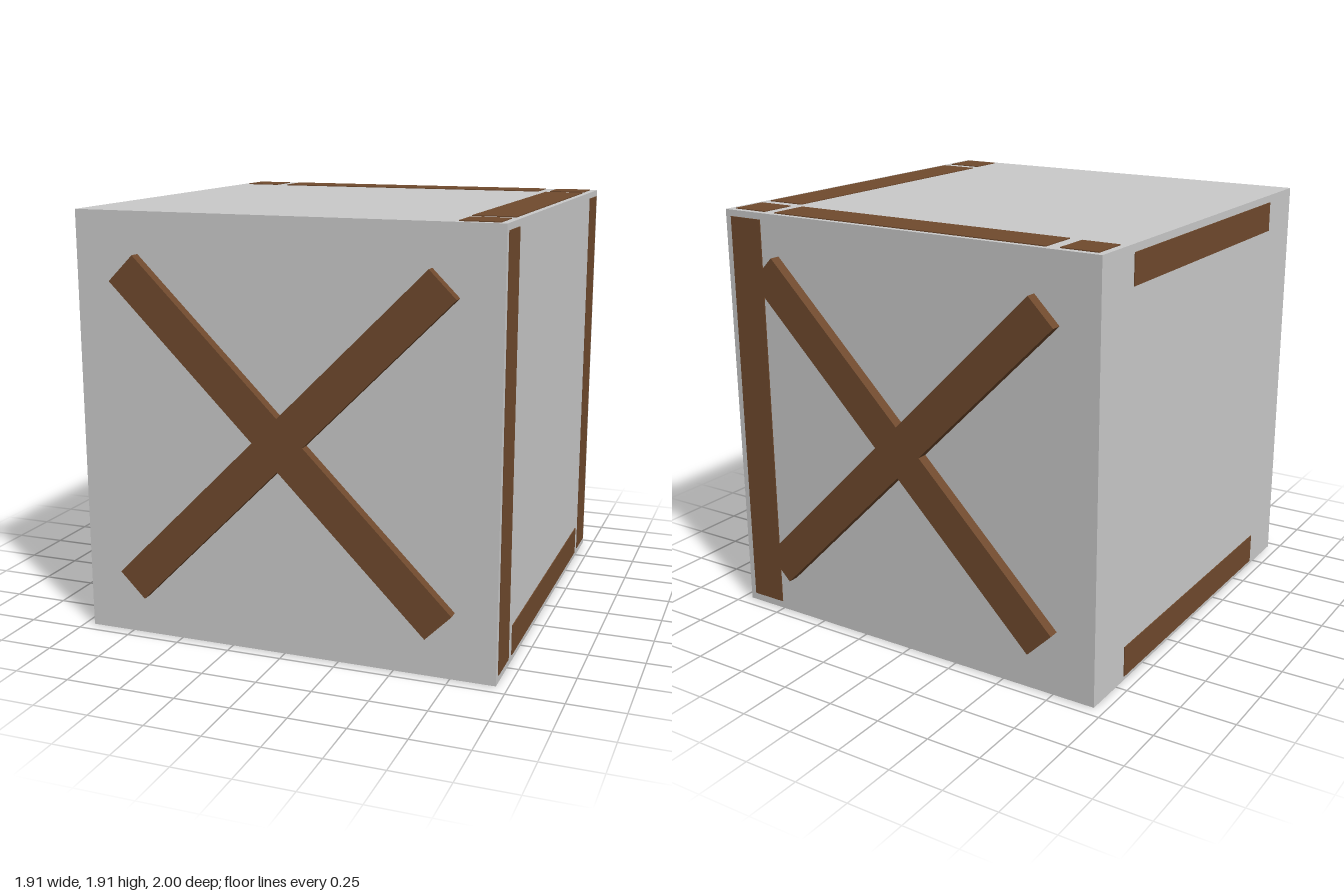
import * as THREE from 'three';

export function createModel() {
  const group = new THREE.Group();
  const grey = new THREE.MeshStandardMaterial({ color: 0xcacaca });
  grey.name = 'pale grey';
  const brown = new THREE.MeshStandardMaterial({ color: 0x704a2d });
  brown.name = 'wood brown';

  const H = 0.951; // half size of the body
  const BOTTOM = 0.005, TOP = 1.909, MID = 0.957;

  // Box given by its minimum and maximum corners
  function box(name, material, min, max) {
    const size = max.map((v, i) => v - min[i]);
    const mesh = new THREE.Mesh(new THREE.BoxGeometry(...size), material);
    mesh.position.set(...max.map((v, i) => (v + min[i]) / 2));
    mesh.name = name;
    group.add(mesh);
  }

  box('crateBody', grey, [-H, BOTTOM, -H], [H, TOP, H]);

  // Thin strips showing the frame, lying on each face
  const T = 0.004;
  const A = 0.75, B = 0.92; // frame beam, near and far from the centre
  const L = 0.69; // half length of the horizontal beams

  // Top face
  const top = (name, x0, x1, z0, z1) =>
    box(name, brown, [x0, TOP - T, z0], [x1, TOP + T, z1]);
  top('topBackBeam', -L, L, -0.925, -0.74);
  top('topLeftBeam', 0.74, 0.925, -L, L);
  top('frontLeftPostTop', A, B, A, B);
  top('backLeftPostTop', A, B, -B, -A);
  top('backRightPostTop', -B, -A, -B, -A);

  // Bottom face
  const bottom = (name, x0, x1, z0, z1) =>
    box(name, brown, [x0, 0.001, z0], [x1, BOTTOM + T, z1]);
  bottom('bottomBackBeam', -L, L, -0.925, -0.74);
  bottom('bottomRightBeam', -0.925, -0.74, -L, L);
  bottom('frontRightPostFoot', -B, -A, A, B);

  // +x face: two posts and the lower beam
  const side = (name, s, y0, y1, z0, z1) =>
    box(name, brown, [s * H - T, y0, z0], [s * H + T, y1, z1]);
  side('frontLeftPost', 1, 0.04, 1.88, A, B);
  side('backLeftPost', 1, 0.04, 1.88, -B, -A);
  side('bottomLeftBeam', 1, 0.035, 0.17, -L, L);

  // -x face: upper and lower beams
  side('topRightBeamSide', -1, 1.74, 1.875, -L, L);
  side('bottomRightBeamSide', -1, 0.025, 0.165, -L, L);

  // -z face: one post
  box('backLeftPostRear', brown, [A, 0.04, -H - T], [B, 1.88, -H + T]);

  // Crossed planks on the front and back
  const points = [];
  const len = 1.0075, w = 0.0815;
  for (let i = 0; i < 4; i++) {
    for (const [x, y] of [[len, -w], [len, w], [w, w]]) {
      points.push(new THREE.Vector2(x, y)
        .rotateAround(new THREE.Vector2(), Math.PI / 4 + i * Math.PI / 2));
    }
  }
  const cross = new THREE.ExtrudeGeometry(new THREE.Shape(points), { depth: 0.055, bevelEnabled: false });
  for (const [name, z] of [['frontCross', 0.945], ['backCross', -1]]) {
    const mesh = new THREE.Mesh(cross, brown);
    mesh.position.set(0, MID, z);
    mesh.name = name;
    group.add(mesh);
  }

  return group;
}
